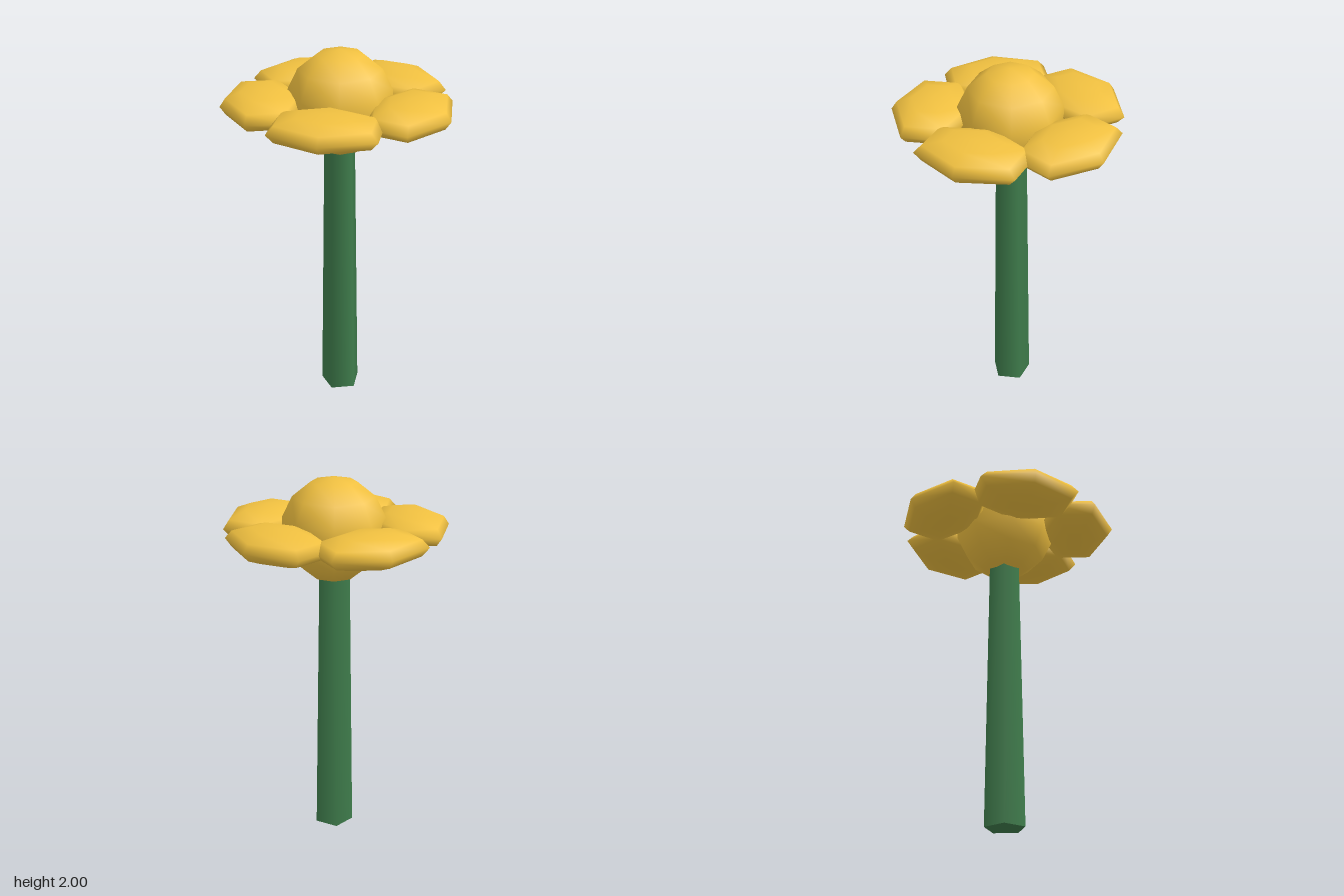
import * as THREE from 'three';

export function createModel() {
  const flower = new THREE.Group();
  flower.name = 'flower';
  flower.position.x = -0.027; // five petals: the bounds are off the stem axis

  const gold = new THREE.MeshStandardMaterial({ color: 0xf0c040 });
  const green = new THREE.MeshStandardMaterial({ color: 0x3f7d4c });
  const headY = 1.726;

  // Tapered five-sided stem, ending inside the core
  const stemHeight = 1.6;
  const stem = new THREE.Mesh(new THREE.CylinderGeometry(0.083, 0.109, stemHeight, 5), green);
  stem.name = 'stem';
  stem.position.y = stemHeight / 2;
  flower.add(stem);

  // Round core
  const core = new THREE.Mesh(new THREE.SphereGeometry(0.274, 8, 7), gold);
  core.name = 'core';
  core.position.y = headY;
  flower.add(core);

  // Ring of flattened petals
  const petalGeometry = new THREE.SphereGeometry(1, 6, 6);
  petalGeometry.scale(0.216, 0.086, 0.312);
  petalGeometry.translate(0.394, 0, 0);
  for (let i = 0; i < 5; i++) {
    const petal = new THREE.Mesh(petalGeometry, gold);
    petal.name = `petal${i + 1}`;
    petal.position.y = headY;
    petal.rotation.y = (i * Math.PI * 2) / 5;
    flower.add(petal);
  }

  const model = new THREE.Group();
  model.name = 'model';
  model.add(flower);
  return model;
}
